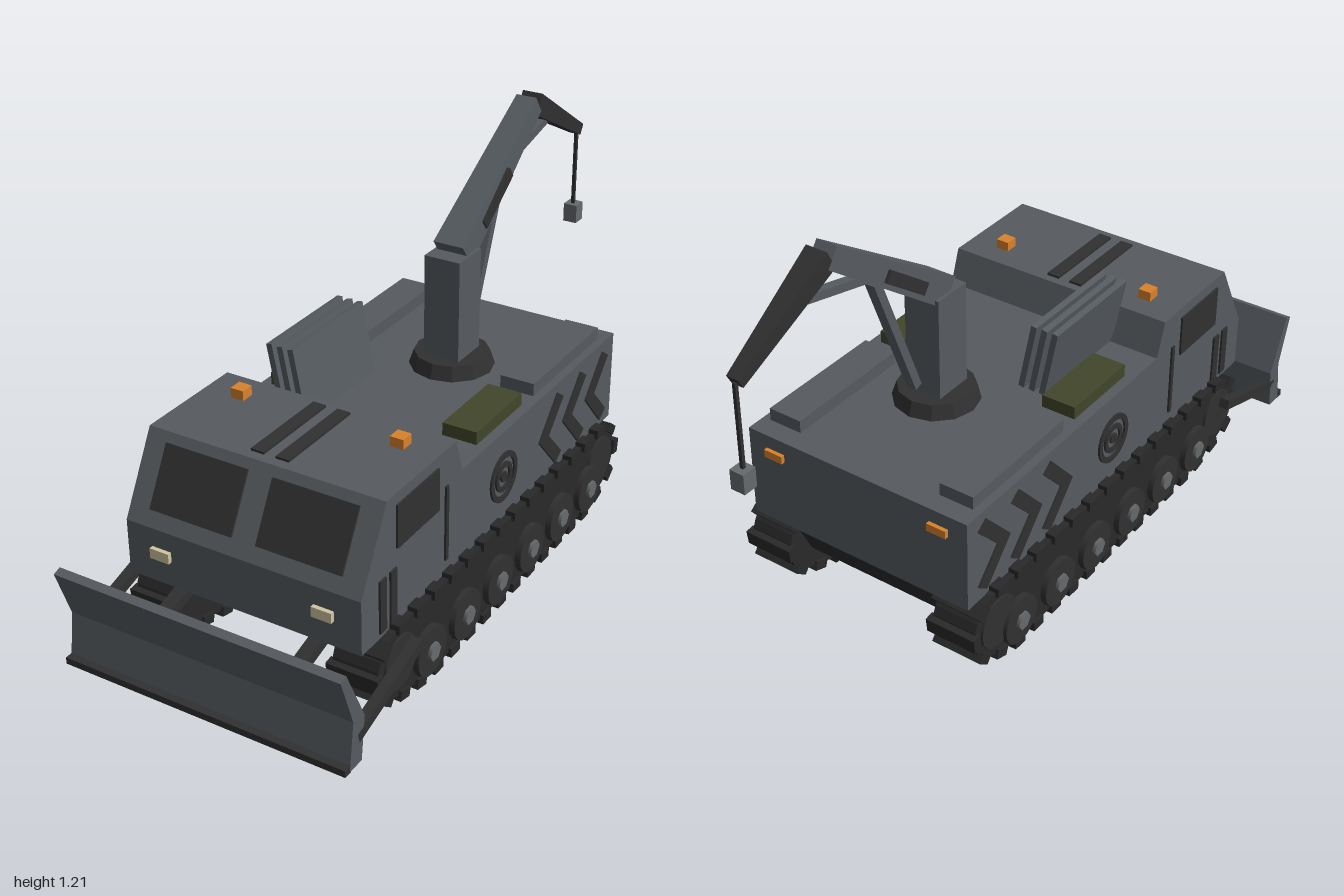
import * as THREE from 'three';

const mat = (name, color, side = THREE.FrontSide) => {
  const m = new THREE.MeshStandardMaterial({ color, side });
  m.name = name;
  return m;
};

export function createModel() {
  const hullGrey = mat('hullGrey', 0x565b60);
  const dark = mat('darkGrey', 0x303030);
  const trackBlack = mat('trackBlack', 0x292929);
  const hubGrey = mat('hubGrey', 0x666a6c);
  const green = mat('oliveGreen', 0x41462a);
  const amber = mat('amber', 0xd9822b);
  const lamp = mat('lampBeige', 0xcfc5a0);

  const model = new THREE.Group();
  model.name = 'engineeringVehicle';

  const add = (name, geo, material, x = 0, y = 0, z = 0, parent = model) => {
    const m = new THREE.Mesh(geo, material);
    m.name = name;
    m.position.set(x, y, z);
    parent.add(m);
    return m;
  };
  const box = (name, material, w, h, d, x, y, z, parent) =>
    add(name, new THREE.BoxGeometry(w, h, d), material, x, y, z, parent);
  const shapeOf = pts => new THREE.Shape(pts.map(p => new THREE.Vector2(p[0], p[1])));
  // Side profile given as (z, y), extruded across x and centred on x
  const slab = (name, shape, width, material, x = 0, y = 0, z = 0) => {
    const g = new THREE.ExtrudeGeometry(shape, { depth: width, bevelEnabled: false, curveSegments: 12 });
    g.translate(0, 0, -width / 2).rotateY(-Math.PI / 2);
    return add(name, g, material, x, y, z);
  };
  // Tapered bar in the plane of x between two (z, y) points; sizes are [width, height]
  const beam = (name, material, x, a, b, s0, s1 = s0) => {
    const len = Math.hypot(b[0] - a[0], b[1] - a[1]);
    const g = new THREE.BoxGeometry(1, 1, len);
    const p = g.attributes.position;
    for (let i = 0; i < p.count; i++) {
      const s = p.getZ(i) < 0 ? s0 : s1;
      p.setXY(i, p.getX(i) * s[0], p.getY(i) * s[1]);
    }
    g.computeVertexNormals();
    const m = add(name, g, material, x, (a[1] + b[1]) / 2, (a[0] + b[0]) / 2);
    m.lookAt(x, b[1], b[0]);
    return m;
  };
  const disc = (name, r, width, sides, material, x, y, z) =>
    add(name, new THREE.CylinderGeometry(r, r, width, sides).rotateZ(Math.PI / 2), material, x, y, z);

  // Hull with cab, and the tub between the tracks
  slab('hull', shapeOf([[0.79, 0.25], [0.79, 0.41], [0.67, 0.633], [0.33, 0.633],
    [0.295, 0.53], [-0.62, 0.53], [-0.62, 0.25]]), 0.72, hullGrey);
  slab('lowerHull', shapeOf([[0.72, 0.25], [-0.6, 0.25], [-0.53, 0.11], [0.6, 0.11]]), 0.5, trackBlack);

  // Track outline: convex hull around the wheel circles
  const wheels = Array.from({ length: 6 }, (_, i) => [0.507 - i * 0.187, 0.1, 0.086]);
  const sprockets = [[0.645, 0.15, 0.105], [-0.515, 0.15, 0.105]];
  const rim = [];
  for (const [z, y, r] of [...wheels, ...sprockets])
    for (let i = 0; i < 24; i++)
      rim.push([z + r * Math.cos(i * Math.PI / 12), y + r * Math.sin(i * Math.PI / 12)]);
  rim.sort((a, b) => a[0] - b[0] || a[1] - b[1]);
  const half = list => {
    const h = [];
    for (const p of list) {
      while (h.length > 1) {
        const [a, b] = h.slice(-2);
        if ((b[0] - a[0]) * (p[1] - a[1]) - (b[1] - a[1]) * (p[0] - a[0]) > 1e-7) break;
        h.pop();
      }
      h.push(p);
    }
    return h.slice(0, -1);
  };
  const outline = [...half(rim), ...half([...rim].reverse())];
  const loop = shapeOf([...outline, outline[0]]);

  for (const s of [1, -1]) {
    // Tracks with cleats, road wheels and sprockets
    slab('trackBand', shapeOf(outline), 0.135, trackBlack, s * 0.3125);
    const cleats = 34;
    for (let i = 0; i < cleats; i++) {
      const p = loop.getPoint(i / cleats), t = loop.getTangent(i / cleats);
      const c = box('trackCleat', trackBlack, 0.155, 0.028, 0.045, s * 0.3125, p.y, p.x);
      c.rotation.x = -Math.atan2(t.y, t.x);
    }
    for (const [z, y] of wheels) {
      disc('roadWheel', 0.073, 0.04, 16, dark, s * 0.378, y, z);
      disc('wheelHub', 0.027, 0.012, 6, hubGrey, s * 0.402, y, z);
    }
    for (const [z, y] of sprockets) disc('sprocket', 0.078, 0.03, 16, dark, s * 0.372, y, z);

    // Side window, vents and door seam
    const side = s * 0.362;
    box('sideWindow', dark, 0.008, 0.125, 0.205, side, 0.538, 0.525);
    for (const z of [0.695, 0.645]) box('sideVent', dark, 0.008, 0.155, 0.03, side, 0.345, z);
    box('doorSeam', dark, 0.008, 0.225, 0.014, side, 0.413, 0.38);

    // Ring marking
    for (const [r, hole] of [[0.075, 0.058], [0.045, 0.03], [0.016, 0]]) {
      const ring = new THREE.Shape().absarc(0, 0, r, 0, Math.PI * 2);
      if (hole) ring.holes.push(new THREE.Path().absarc(0, 0, hole, 0, Math.PI * 2));
      slab('ringMarking', ring, 0.008, dark, side, 0.39, 0.067);
    }
    // Chevrons pointing forward
    for (let i = 0; i < 3; i++)
      slab('chevron', shapeOf([[0, 0], [-0.105, 0.115], [-0.14, 0.09], [-0.055, 0],
        [-0.14, -0.09], [-0.105, -0.115]]), 0.008, dark, side, 0.388, -0.143 - i * 0.147);

    // Windscreen, lamps and beacons
    const screen = box('windscreen', dark, 0.257, 0.178, 0.009, s * 0.166, 0.53, 0.728);
    screen.rotation.x = -Math.atan2(0.12, 0.223);
    box('headlight', lamp, 0.06, 0.03, 0.015, s * 0.25, 0.34, 0.795);
    box('beacon', amber, 0.04, 0.03, 0.04, s * 0.248, 0.647, 0.42);
    box('rearLight', amber, 0.06, 0.024, 0.015, s * 0.27, 0.477, -0.624);

    // Deck lockers and roof strips
    box('deckLocker', hullGrey, 0.105, 0.04, 0.41, s * 0.283, 0.548, -0.355);
    box('stowageBox', green, 0.105, 0.04, 0.255, s * 0.278, 0.548, 0.04);
    box('roofStrip', dark, 0.04, 0.008, 0.285, s * 0.038 - 0.003, 0.636, 0.498);

    // Dozer push arms
    beam('outerPushArm', dark, s * 0.42, [0.62, 0.212], [0.925, 0.12], [0.03, 0.03]);
    beam('innerPushArm', dark, s * 0.21, [0.68, 0.245], [0.925, 0.175], [0.04, 0.03]);
  }

  // Dozer blade with cutting edge
  slab('dozerBlade', shapeOf([[0.999, 0.334], [0.975, 0.342], [0.897, 0.175], [0.913, 0.047],
    [0.967, 0.047], [0.948, 0.186]]), 0.87, hullGrey);
  box('cuttingEdge', dark, 0.87, 0.02, 0.025, 0, 0.055, 0.975);

  // Leaning exhaust plates
  for (let i = 0; i < 3; i++) {
    const plate = box('exhaustPlate', hullGrey, 0.018, 0.212, 0.35, -0.215 + i * 0.034, 0.638, 0.13);
    plate.rotation.z = 0.19;
  }

  // Crane: turntable, post, boom, jib, rams and hook block
  const cx = 0.04;
  const ring = new THREE.CylinderGeometry(0.11, 0.125, 0.045, 12).toNonIndexed();
  ring.computeVertexNormals();
  add('turntable', ring, dark, cx, 0.55, -0.21);
  box('cranePost', hullGrey, 0.112, 0.32, 0.122, cx, 0.72, -0.207);
  beam('boom', hullGrey, cx, [-0.205, 0.875], [-0.645, 1.185], [0.094, 0.09], [0.064, 0.062]);
  beam('boomPanel', dark, cx, [-0.305, 0.935], [-0.455, 1.045], [0.098, 0.036]);
  beam('jib', dark, cx, [-0.65, 1.183], [-0.975, 1.002], [0.064, 0.065], [0.036, 0.034]);
  beam('lowerRam', hullGrey, cx, [-0.308, 0.62], [-0.465, 1.02], [0.032, 0.026]);
  beam('upperRam', hullGrey, cx, [-0.48, 1.043], [-0.74, 1.105], [0.028, 0.024]);
  box('cable', dark, 0.01, 0.25, 0.01, cx, 0.875, -0.975);
  box('hookBlock', hubGrey, 0.044, 0.058, 0.044, cx, 0.725, -0.977);

  return model;
}
